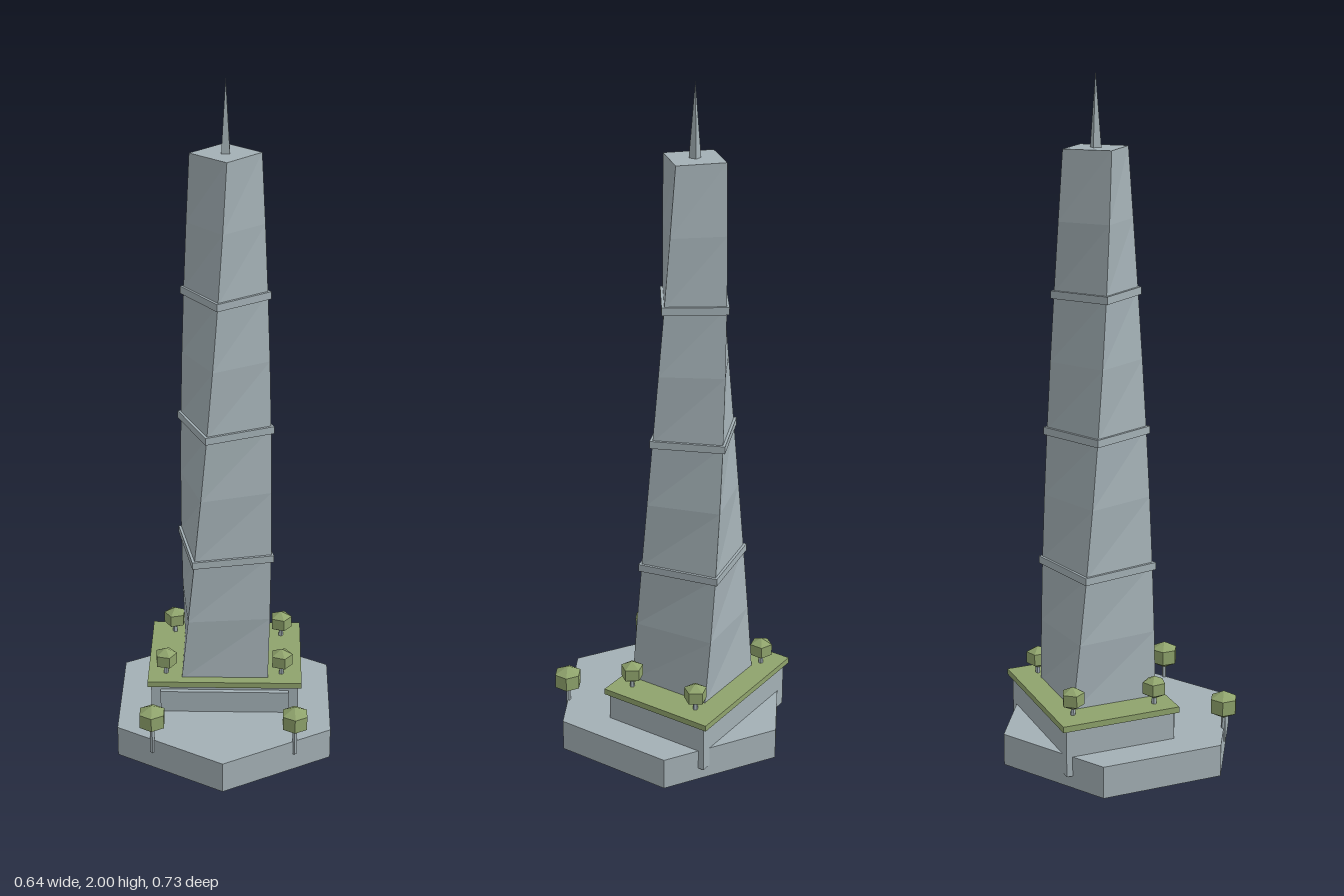
import * as THREE from 'three';

const stone = new THREE.MeshStandardMaterial({ color: 0xa3b0b5, flatShading: true });
stone.name = 'blue grey stone';
const green = new THREE.MeshStandardMaterial({ color: 0x8fa36c, flatShading: true });
green.name = 'garden green';

const TOWER_Z = -0.07;
const Y0 = 0.19, Y1 = 1.79;           // tower bottom and top
const HALF0 = 0.13, HALF1 = 0.071;    // half widths at bottom and top
const TWIST = THREE.MathUtils.degToRad(48);

export function createModel() {
  const model = new THREE.Group();
  model.name = 'twistedTower';

  const add = (name, geometry, material, x, y, z, parent = model) => {
    const mesh = new THREE.Mesh(geometry, material);
    mesh.name = name;
    mesh.position.set(x, y, z);
    parent.add(mesh);
    return mesh;
  };

  // Hexagonal plinth with a podium, front panel and planted roof
  add('plinth', new THREE.CylinderGeometry(0.367, 0.367, 0.096, 6), stone, 0, 0.048, 0);
  add('podium', new THREE.BoxGeometry(0.444, 0.146, 0.335), stone, 0, 0.11, -0.0895);
  add('frontPanel', new THREE.BoxGeometry(0.386, 0.085, 0.03), stone, 0, 0.1225, 0.0775);
  add('roofGarden', new THREE.BoxGeometry(0.464, 0.018, 0.36), green, 0, 0.188, -0.09);

  // Tapered shaft, each level turned a little further than the one below
  const shaft = new THREE.BoxGeometry(1, 1, 1, 1, 8, 1);
  const pos = shaft.attributes.position;
  const v = new THREE.Vector3();
  const up = new THREE.Vector3(0, 1, 0);
  for (let i = 0; i < pos.count; i++) {
    v.fromBufferAttribute(pos, i);
    const t = v.y + 0.5;
    const width = 2 * THREE.MathUtils.lerp(HALF0, HALF1, t);
    v.set(v.x * width, THREE.MathUtils.lerp(Y0, Y1, t), v.z * width).applyAxisAngle(up, TWIST * t);
    pos.setXYZ(i, v.x, v.y, v.z);
  }
  shaft.computeVertexNormals();
  add('towerShaft', shaft, stone, 0, 0, TOWER_Z);

  // Projecting bands that follow the twist
  for (const y of [0.585, 0.985, 1.385]) {
    const t = (y - Y0) / (Y1 - Y0);
    const width = 2 * (THREE.MathUtils.lerp(HALF0, HALF1, t) + 0.007);
    add('towerBand', new THREE.BoxGeometry(width, 0.022, width), stone, 0, y, TOWER_Z)
      .rotation.y = TWIST * t;
  }

  // Four-sided spire
  add('spire', new THREE.ConeGeometry(0.017, 0.21, 4), stone, 0, 1.895, TOWER_Z)
    .rotation.y = Math.PI / 4;

  // Trees: a faceted crown on a thin trunk
  const addTree = (name, x, z, trunkBottom, crownY, radius, height, sides, turn) => {
    const tree = new THREE.Group();
    tree.name = name;
    tree.position.set(x, 0, z);
    tree.rotation.y = turn;
    model.add(tree);
    const profile = [[0, -height], [radius, -height / 2], [radius, height / 2], [0, height]]
      .map(([r, y]) => new THREE.Vector2(r, y));
    add('crown', new THREE.LatheGeometry(profile, sides), green, 0, crownY, 0, tree);
    const length = crownY - trunkBottom;
    add('trunk', new THREE.CylinderGeometry(0.006, 0.008, length, 5), stone,
      0, trunkBottom + length / 2, 0, tree);
  };
  for (const side of [-1, 1]) {
    addTree('plinthTree', side * 0.21, 0.244, 0.053, 0.17, 0.041, 0.043, 6, 0);
  }
  const roofTrees = [
    [-0.161, -0.213, 0.9], [0.171, -0.194, 0.3],
    [-0.179, 0.034, 0.4], [0.171, 0.032, 0.3],
  ];
  for (const [x, z, turn] of roofTrees) {
    addTree('roofTree', x, z, 0.19, 0.247, 0.034, 0.035, 5, turn);
  }

  return model;
}
